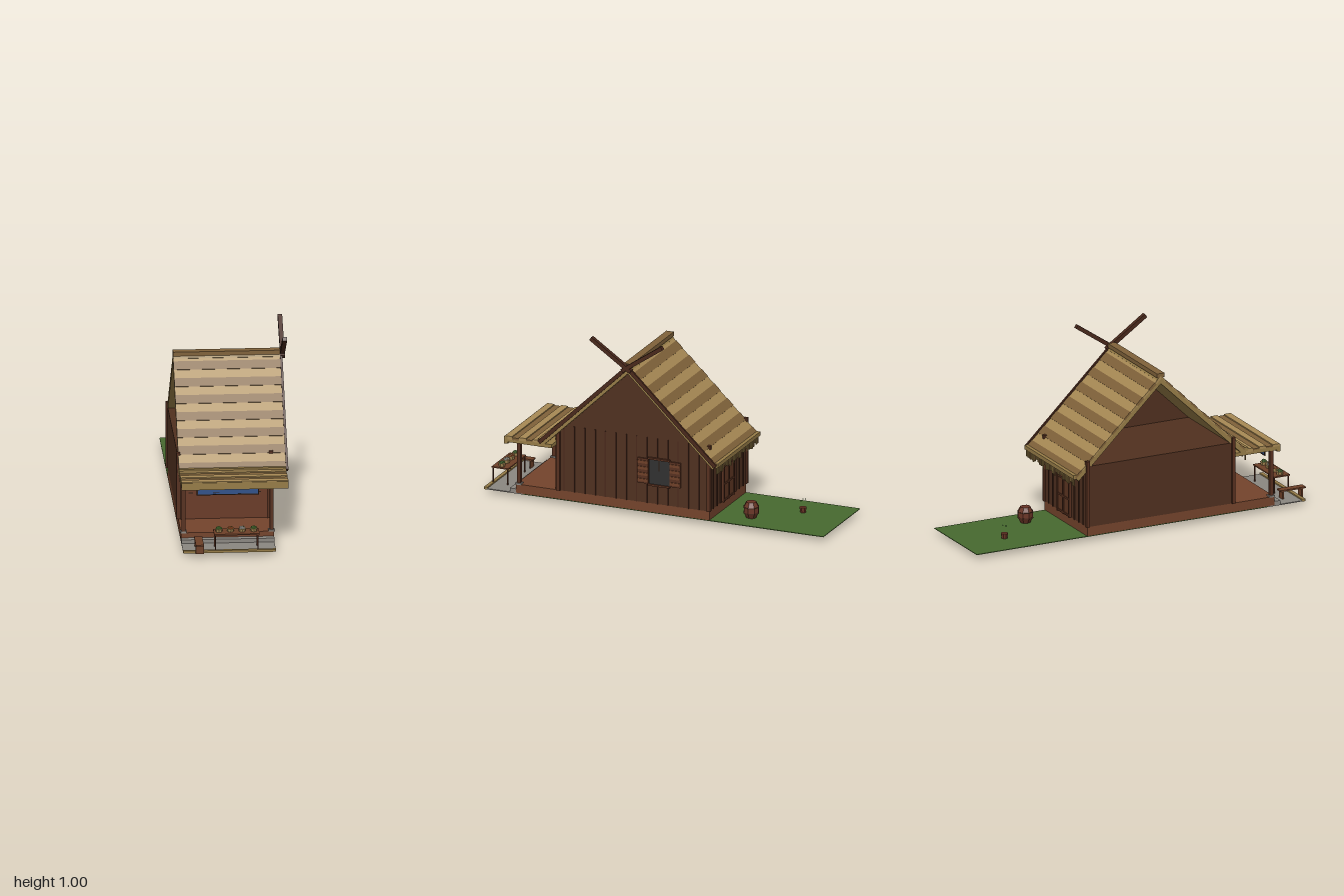
import * as THREE from 'three';

const C = {
  wall: 0x50301f, front: 0x6a3b27, plinth: 0x74442c, post: 0x57301f, board: 0x48281b, lightWood: 0x6e4028,
  straw: 0xa88a55, strawDark: 0x80623a, trim: 0x967c47, grass: 0x47692f, stone: 0x8b8781,
  cloth: 0x30528a, glass: 0x303030, dark: 0x2a1a12, door: 0x5e3622,
};
const mats = {};
const mat = (c) => (mats[c] ??= new THREE.MeshStandardMaterial({ color: c, flatShading: true }));

function mesh(parent, name, geo, color, x = 0, y = 0, z = 0) {
  const m = new THREE.Mesh(geo, mat(color));
  m.name = name;
  m.position.set(x, y, z);
  parent.add(m);
  return m;
}
// Box given by its extents on each axis
function box(parent, name, color, x0, x1, y0, y1, z0, z1) {
  return mesh(parent, name, new THREE.BoxGeometry(Math.abs(x1 - x0), Math.abs(y1 - y0), Math.abs(z1 - z0)), color,
    (x0 + x1) / 2, (y0 + y1) / 2, (z0 + z1) / 2);
}
function group(parent, name) {
  const g = new THREE.Group();
  g.name = name;
  parent.add(g);
  return g;
}
let seed = 7;
const rnd = () => (seed = (seed * 16807) % 2147483647) / 2147483647;

const X0 = -0.295, X1 = 0.2, RX = 0.275;        // wall sides and roof overhang
const ZB = -0.34, ZF = 0.54, ZR = 0.1, YR = 0.865; // back, front, ridge

function addGround(root) {
  const g = group(root, 'ground');
  box(g, 'grass', C.grass, X0, X1, 0.026, 0.0295, -1, 0.74);
  box(g, 'paving', C.stone, X0, X1, 0.026, 0.031, 0.74, 0.95);
  box(g, 'curb', C.trim, X0, X1, 0.025, 0.038, 0.945, 0.965);
  box(g, 'stoneStep', C.stone, X0, X1, 0.03, 0.052, 0.78, 0.815);
}

function addWalls(root) {
  const g = group(root, 'house');
  box(g, 'plinth', C.plinth, X0, X1, 0.03, 0.08, ZB, 0.78);
  box(g, 'walls', C.wall, X0, X1, 0.08, 0.42, ZB, ZF);
  box(g, 'frontPanel', C.front, -0.27, 0.178, 0.08, 0.38, ZF, ZF + 0.004);
  // Gable closing the right end of the roof
  const s = new THREE.Shape([[-ZF, 0.4], [-ZB, 0.4], [-ZR, 0.825]].map((p) => new THREE.Vector2(...p)));
  const gable = mesh(g, 'gable', new THREE.ExtrudeGeometry(s, { depth: 0.012, bevelEnabled: false }), C.wall, X1 - 0.012);
  gable.rotation.y = Math.PI / 2;
  // Corner posts
  for (const x of [X0, X1]) for (const z of [ZB + 0.002, ZF - 0.008])
    box(g, 'cornerPost', C.post, x - 0.01, x + 0.01, 0.08, 0.45, z - 0.01, z + 0.01);
  for (const x of [-0.275, 0.185]) box(g, 'frontPost', C.post, x - 0.008, x + 0.008, 0.08, 0.4, ZF, ZF + 0.012);
  // Battens on the side and back walls
  for (let z = -0.28; z < 0.52; z += 0.06) box(g, 'sideBatten', C.board, X1, X1 + 0.005, 0.08, 0.45, z - 0.003, z + 0.003);
  for (let x = -0.25; x < 0.18; x += 0.05)
    box(g, 'backBatten', C.board, x - 0.003, x + 0.003, 0.08, 0.39, ZB - 0.005, ZB);
  // Sliding door pulls
  for (const x of [-0.228, 0.133]) box(g, 'doorPull', C.dark, x - 0.012, x + 0.012, 0.223, 0.228, ZF, ZF + 0.008);
  // Back door
  const d = group(g, 'backDoor');
  box(d, 'doorLeaf', C.door, -0.105, 0.03, 0.08, 0.28, ZB - 0.01, ZB);
  for (const x of [-0.105, -0.038, 0.03]) box(d, 'doorStile', C.post, x - 0.005, x + 0.005, 0.08, 0.285, ZB - 0.015, ZB);
  for (const y of [0.09, 0.18, 0.28]) box(d, 'doorRail', C.post, -0.105, 0.03, y - 0.005, y + 0.005, ZB - 0.014, ZB);
}

function addWindow(root) {
  const g = group(root, 'sideWindow');
  box(g, 'pane', C.glass, X1, X1 + 0.008, 0.19, 0.335, -0.112, 0.005);
  for (const y of [0.187, 0.335]) box(g, 'frameRail', C.post, X1, X1 + 0.015, y - 0.005, y + 0.005, -0.115, 0.01);
  box(g, 'mullion', C.dark, X1, X1 + 0.011, 0.27, 0.33, -0.056, -0.05);
  for (const [a, b] of [[0.01, 0.072], [-0.177, -0.115]]) {
    box(g, 'shutter', C.post, X1, X1 + 0.009, 0.19, 0.33, a, b);
    for (let i = 0; i < 4; i++) box(g, 'slat', C.lightWood, X1, X1 + 0.013, 0.2 + i * 0.034, 0.216 + i * 0.034, a, b);
  }
}

function addRoof(root) {
  const roof = group(root, 'roof');
  const len = Math.hypot(0.515, 0.495), a = Math.atan2(0.495, 0.515), n = 14;
  for (const s of [1, -1]) {
    // Local +z runs down the slope, s times y points outward
    const g = group(roof, s > 0 ? 'frontSlope' : 'backSlope');
    g.position.set(0, YR, ZR);
    g.rotation.x = s > 0 ? a : Math.PI - a;
    box(g, 'thatch', C.trim, X0, RX, -s * 0.034, -s * 0.012, 0, len);
    for (let i = 0; i < n; i++)
      box(g, 'thatchCourse', i % 2 ? C.strawDark : C.straw, X0, RX, -s * 0.016, -s * (i % 2 ? 0.001 : 0.004), i * len / n, (i + 1) * len / n);
    box(g, 'bargeboard', C.board, RX, RX + 0.012, -s * 0.018, s * 0.004, 0, len);
    // Crossed finial above the ridge
    const f = group(roof, 'ridgePole');
    f.position.set(RX + 0.013, 0.855, ZR);
    f.rotation.x = -s * 0.6;
    box(f, 'pole', C.board, -0.012, 0.012, -0.011, 0.011, s * -0.03, s * 0.25);
    // Loose straw under the eave
    const z = s > 0 ? 0.61 : -0.412;
    for (let i = 0; i < 30; i++) {
      const x = X0 + 0.01 + i * 0.019;
      box(roof, 'strawFringe', i % 3 ? C.trim : C.strawDark, x - 0.006, x + 0.006, 0.308 + rnd() * 0.03, 0.365, z - 0.002, z + 0.002);
    }
    box(roof, 'eavePole', C.trim, X0, RX, 0.36, 0.382, z - 0.01, z + 0.01);
  }
  box(roof, 'ridgeCap', C.strawDark, X0, RX, 0.852, 0.875, ZR - 0.022, ZR + 0.022);
}

function addPorch(root) {
  const g = group(root, 'porch');
  box(g, 'porchRoof', C.trim, X0, RX, 0.338, 0.358, ZF, 0.81);
  box(g, 'fascia', C.trim, X0, RX, 0.328, 0.368, 0.795, 0.815);
  for (let i = 0; i < 5; i++)
    box(g, 'porchCourse', i % 2 ? C.strawDark : C.straw, X0, RX, 0.352, i % 2 ? 0.366 : 0.372, 0.61 + i * 0.04, 0.65 + i * 0.04);
  for (const x of [-0.282, 0.188]) {
    box(g, 'porchPost', C.post, x - 0.01, x + 0.01, 0.08, 0.345, 0.755, 0.775);
    box(g, 'postPad', C.stone, x - 0.017, x + 0.017, 0.078, 0.087, 0.748, 0.782);
  }
  box(g, 'porchBeam', C.post, X0, 0.21, 0.328, 0.342, 0.757, 0.773);
  // Hanging cloth with its rod
  box(g, 'cloth', C.cloth, -0.205, 0.115, 0.288, 0.34, 0.765, 0.769);
  box(g, 'clothHem', C.dark, -0.21, 0.12, 0.284, 0.289, 0.764, 0.77);
  for (const x of [-0.208, 0.118]) box(g, 'clothEdge', C.dark, x - 0.003, x + 0.003, 0.285, 0.34, 0.764, 0.77);
  box(g, 'clothFold', C.dark, -0.16, 0.035, 0.317, 0.32, 0.765, 0.771);
  box(g, 'clothFold', C.dark, -0.125, -0.09, 0.299, 0.302, 0.765, 0.771);
}

function addStall(root) {
  const t = group(root, 'produceTable');
  box(t, 'tableTop', C.lightWood, -0.13, 0.112, 0.119, 0.126, 0.862, 0.958);
  for (const x of [-0.122, 0.104]) for (const z of [0.868, 0.952])
    box(t, 'tableLeg', C.post, x - 0.003, x + 0.003, 0.03, 0.12, z - 0.003, z + 0.003);
  [[-0.102, 0x5b8a3c], [-0.04, 0xb8622f], [0.022, 0xc9c6bd], [0.083, 0x5b8a3c]].forEach(([x, c]) => {
    const tray = mesh(t, 'basket', new THREE.CylinderGeometry(0.021, 0.017, 0.016, 8), C.straw, x, 0.134, 0.91);
    tray.name = 'basket';
    for (let i = 0; i < 5; i++) {
      const k = i * Math.PI * 0.4, r = i === 4 ? 0 : 0.01;
      mesh(t, 'vegetable', new THREE.IcosahedronGeometry(0.008, 0), c, x + r * Math.cos(k), i === 4 ? 0.149 : 0.145, 0.91 + r * Math.sin(k));
    }
    mesh(t, 'leaf', new THREE.ConeGeometry(0.006, 0.012, 5), 0x3f6f2c, x + 0.006, 0.152, 0.912);
  });
  // Low bench
  const b = group(root, 'bench');
  box(b, 'benchSeat', C.lightWood, -0.23, -0.187, 0.073, 0.081, 0.85, 1);
  for (const z of [0.865, 0.98]) box(b, 'benchLeg', C.lightWood, -0.23, -0.187, 0.026, 0.075, z - 0.004, z + 0.004);
}

function addYard(root) {
  // Faceted barrel with hoops
  const b = group(root, 'barrel');
  b.position.set(0.065, 0.03, -0.525);
  const p = [[0, 0], [0.027, 0], [0.043, 0.03], [0.043, 0.06], [0.028, 0.088], [0, 0.088]].map((q) => new THREE.Vector2(...q));
  mesh(b, 'barrelBody', new THREE.LatheGeometry(p, 8), 0x6a3526);
  for (const y of [0.03, 0.06]) mesh(b, 'hoop', new THREE.CylinderGeometry(0.0445, 0.0445, 0.005, 8), C.board, 0, y);
  // Small pot with roots below and buds above
  const g = group(root, 'plantPot');
  g.position.set(-0.12, 0.03, -0.745);
  mesh(g, 'pot', new THREE.CylinderGeometry(0.02, 0.016, 0.028, 8), 0x6a3526, 0, 0.014);
  for (let i = 0; i < 7; i++) {
    const k = i * Math.PI * 2 / 7, c = Math.cos(k), s = Math.sin(k);
    const root1 = mesh(g, 'blade', new THREE.ConeGeometry(0.004, 0.032, 4), 0x2f5a26, c * 0.014, -0.0145, s * 0.014);
    root1.rotation.set(Math.PI - s * 0.5, 0, c * 0.5);
    if (i % 2) mesh(g, 'bud', new THREE.IcosahedronGeometry(0.0035, 0), 0x2f5a26, c * 0.012, 0.06 + i * 0.003, s * 0.012);
  }
}

export function createModel() {
  const root = new THREE.Group();
  root.name = 'farmhouse';
  for (const add of [addGround, addWalls, addWindow, addRoof, addPorch, addStall, addYard]) add(root);
  return root;
}
